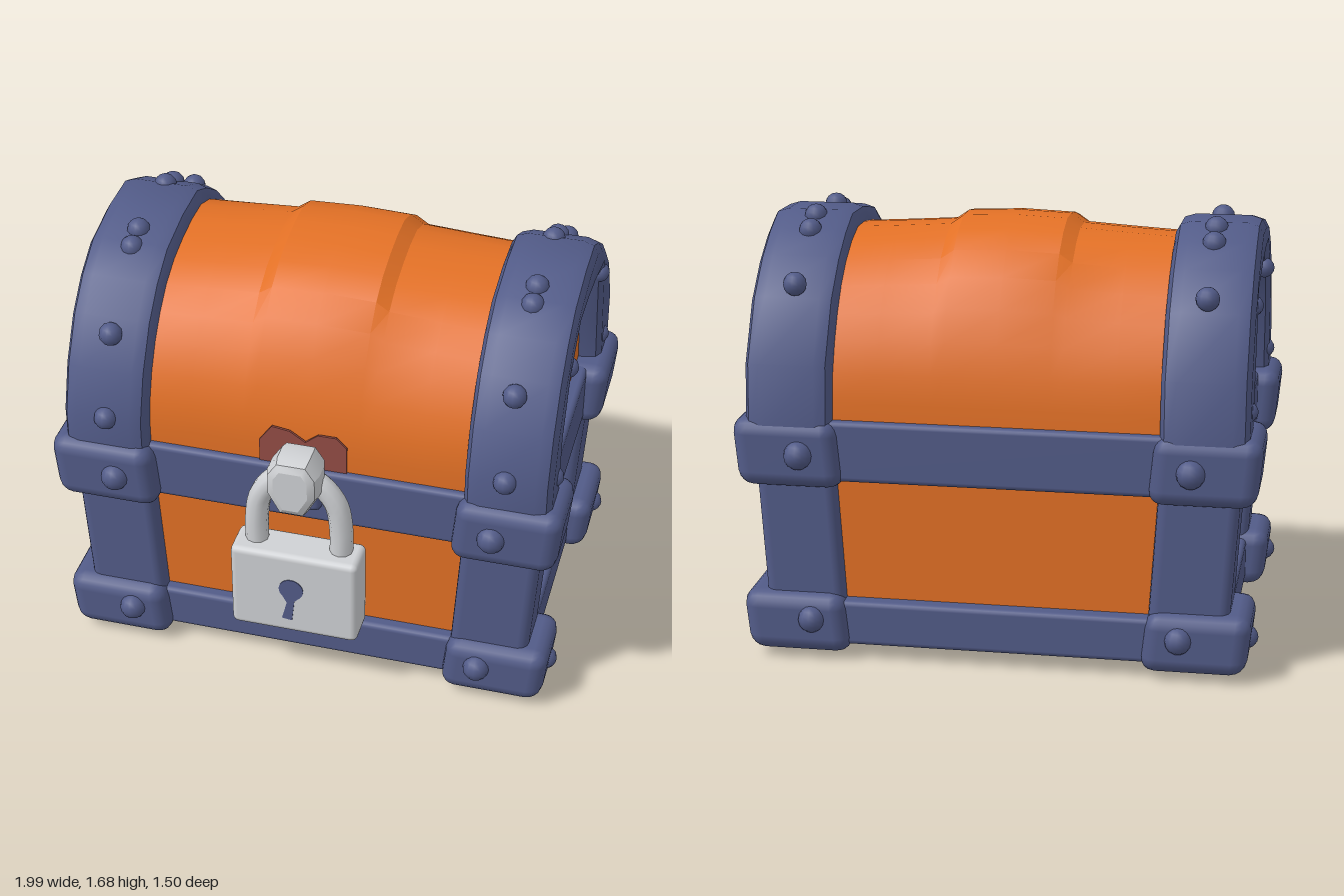
import * as THREE from 'three';
import { toCreasedNormals } from 'three/addons/utils/BufferGeometryUtils.js';
import { RoundedBoxGeometry } from 'three/addons/geometries/RoundedBoxGeometry.js';

const mat = (name, color, side = THREE.FrontSide) => {
  const m = new THREE.MeshStandardMaterial({ color, side });
  m.name = name;
  return m;
};

export function createModel() {
  const wood = mat('orange wood', 0xe27025, THREE.DoubleSide);
  const iron = mat('blue iron', 0x525b88);
  const steel = mat('pale steel', 0xcfd1d4);
  const base = mat('dark base', 0x4a3835);
  const stain = mat('mauve plate', 0x934c45);
  const chest = new THREE.Group();
  chest.name = 'chest';

  const add = (name, geo, material, parent = chest) => {
    const m = new THREE.Mesh(geo, material);
    m.name = name;
    parent.add(m);
    return m;
  };

  // Rounded block between two corners; flare moves the outer x face out towards the top
  const block = (name, x0, x1, y0, y1, z0, z1, r, material, flare = 0) => {
    const geo = new RoundedBoxGeometry(x1 - x0, y1 - y0, z1 - z0, 2, r);
    geo.translate((x0 + x1) / 2, (y0 + y1) / 2, (z0 + z1) / 2);
    if (flare) {
      const p = geo.attributes.position;
      for (let i = 0; i < p.count; i++) {
        const t = (p.getY(i) - y1) / (y1 - y0);
        p.setX(i, p.getX(i) + Math.sign(x0 + x1) * flare * t);
      }
    }
    return add(name, geo, material);
  };
  const mirrored = (name, s, x0, x1, ...rest) =>
    block(name, s > 0 ? x0 : -x1, s > 0 ? x1 : -x0, ...rest);

  // Lower body and floor
  block('bodyPanels', -0.84, 0.84, 0.1, 0.9, -0.6, 0.51, 0.02, wood);
  add('floor', new THREE.BoxGeometry(1.68, 0.03, 1.12).translate(0, 0.09, -0.045), base);

  // Rails around the bottom and the middle
  for (const [label, y0, y1, x] of [['bottom', 0.06, 0.235, 0.88], ['middle', 0.71, 0.945, 0.91]]) {
    block(label + 'FrontRail', -0.8, 0.8, y0, y1, 0.47, 0.56, 0.02, iron);
    block(label + 'BackRail', -0.8, 0.8, y0, y1, -0.66, -0.57, 0.02, iron);
    for (const s of [1, -1]) mirrored(label + 'SideRail', s, x - 0.09, x, y0, y1, -0.58, 0.49, 0.02, iron);
  }

  // Corner posts with their caps
  for (const s of [1, -1]) {
    for (const [z0, z1] of [[0.33, 0.575], [-0.65, -0.36]]) {
      const front = z0 > 0;
      mirrored('cornerPost', s, 0.615, 0.92, 0.15, 0.8, z0, z1, 0.04, iron, 0.04);
      const c0 = front ? 0.315 : -0.7, c1 = front ? 0.625 : -0.345;
      mirrored('bottomCap', s, 0.575, 0.975, 0.03, 0.265, c0, c1, 0.06, iron, 0.025);
      mirrored('middleCap', s, 0.595, 1.0, 0.685, 0.95, c0, c1 + (front ? 0.01 : 0), 0.06, iron, 0.025);
    }
  }

  // Lid arches: profile points are [z, y]
  const outer = [[0.6, 0.88], [0.6, 1.06], [0.54, 1.25], [0.44, 1.42], [0.33, 1.53], [0.2, 1.61],
    [0, 1.65], [-0.18, 1.655], [-0.3, 1.6], [-0.42, 1.52], [-0.55, 1.39], [-0.67, 1.16], [-0.69, 0.88]];
  const inner = [[-0.45, 0.88], [-0.445, 0.97], [-0.4, 1.17], [-0.345, 1.42], [-0.15, 1.465],
    [0, 1.485], [0.15, 1.485], [0.29, 1.37], [0.38, 1.17], [0.385, 0.88]];
  const toShape = pts => new THREE.Shape(pts.map(([z, y]) => new THREE.Vector2(-z, y)));
  const archGeo = new THREE.ExtrudeGeometry(toShape([...outer, ...inner]), {
    depth: 0.21, bevelThickness: 0.06, bevelSize: 0.045, bevelOffset: -0.045, bevelSegments: 2,
  }).rotateY(Math.PI / 2).translate(-0.105, 0, 0);
  const archSmooth = toCreasedNormals(archGeo, 0.6);
  const endGeo = new THREE.ExtrudeGeometry(toShape(outer.map(([z, y]) =>
    [-0.045 + (z + 0.045) * 0.88, 0.88 + (y - 0.88) * 0.9])), { depth: 0.04, bevelEnabled: false })
    .rotateY(Math.PI / 2).translate(-0.02, 0, 0);
  for (const s of [1, -1]) {
    add('lidArch', archSmooth, iron).position.x = s * 0.78;
    add('lidEndPanel', endGeo, wood).position.x = s * 0.84;
  }

  // Barrel lid with a slightly raised middle plank
  const lidProfile = new THREE.CatmullRomCurve3(
    [[0.53, 0.9], [0.525, 1.08], [0.47, 1.25], [0.37, 1.4], [0.22, 1.52], [0, 1.58], [-0.18, 1.585],
      [-0.3, 1.535], [-0.42, 1.45], [-0.54, 1.29], [-0.615, 1.1], [-0.63, 0.9]]
      .map(([z, y]) => new THREE.Vector3(0, y, z)));
  const stations = [[-0.66, 0], [-0.45, 0.012], [-0.25, 0.025], [-0.2, 0.06], [0, 0.068],
    [0.2, 0.06], [0.25, 0.025], [0.45, 0.012], [0.66, 0]];
  const rows = 18, cols = stations.length - 1;
  const lid = new THREE.PlaneGeometry(1, 1, cols, rows);
  for (let j = 0; j <= rows; j++) {
    const p = lidProfile.getPointAt(1 - j / rows);
    const w = THREE.MathUtils.smoothstep(p.y, 1.1, 1.55);
    for (let i = 0; i <= cols; i++) {
      const [x, lift] = stations[i];
      lid.attributes.position.setXYZ(j * (cols + 1) + i, x, p.y + lift * w, p.z);
    }
  }
  add('barrelLid', toCreasedNormals(lid, 0.45), wood);

  // Rivets on caps and arches
  const rivetGeo = new THREE.SphereGeometry(0.05, 12, 8);
  const rivet = (x, y, z, r = 1) => {
    const m = add('rivet', rivetGeo, iron);
    m.position.set(x, y, z);
    m.scale.setScalar(r);
  };
  for (const s of [1, -1]) {
    for (const z of [0.62, -0.69]) {
      rivet(s * 0.735, 0.82, z + Math.sign(z) * 0.005, 1.1);
      rivet(s * 0.7, 0.17, z, 1.05);
    }
    for (const z of [0.47, -0.55]) rivet(s * 0.945, 0.15, z, 0.9);
    for (const [z, y] of [[0.27, 1.39], [0.45, 1.02], [-0.4, 1.39], [-0.53, 1.02]])
      rivet(s * 0.925, y, z, 0.8);
    for (const [z, y] of [[0.59, 1.065], [0.48, 1.375], [0.2, 1.59], [0.12, 1.62],
      [-0.2, 1.635], [-0.29, 1.595], [-0.54, 1.44]])
      rivet(s * 0.77, y, z, 0.9);
    // Feet
    for (const z of [0.47, -0.5])
      add('foot', new THREE.CylinderGeometry(0.06, 0.045, 0.05, 8).translate(s * 0.745, 0.025, z), iron);
  }

  // Latch and the plate behind it
  block('latch', -0.07, 0.07, 0.77, 0.93, 0.5, 0.59, 0.03, iron);
  const plate = new THREE.Shape([[-0.18, 0.94], [0.16, 0.94], [0.16, 1.06], [0.12, 1.1], [0.05, 1.1],
    [0, 1.06], [-0.06, 1.1], [-0.13, 1.11], [-0.18, 1.04]].map(p => new THREE.Vector2(...p)));
  add('latchPlate', new THREE.ExtrudeGeometry(plate, { depth: 0.009, bevelEnabled: false })
    .translate(0, 0, 0.53), stain);

  // Padlock
  block('padlockBody', -0.25, 0.25, 0.28, 0.655, 0.57, 0.73, 0.025, steel);
  const path = new THREE.CatmullRomCurve3([[-0.165, 0.6], [-0.165, 0.76], [-0.145, 0.87], [-0.085, 0.95],
    [0, 0.98], [0.085, 0.95], [0.145, 0.87], [0.165, 0.76], [0.165, 0.6]]
    .map(([x, y]) => new THREE.Vector3(x, y, 0.635)));
  add('shackle', new THREE.TubeGeometry(path, 32, 0.045, 10), steel);
  const knob = new THREE.Shape([[-0.05, 0.86], [0.05, 0.86], [0.1, 0.95], [0.1, 1.04], [0.06, 1.1],
    [-0.06, 1.1], [-0.1, 1.04], [-0.1, 0.95]].map(p => new THREE.Vector2(...p)));
  add('knob', toCreasedNormals(new THREE.ExtrudeGeometry(knob, {
    depth: 0.07, bevelThickness: 0.05, bevelSize: 0.035, bevelOffset: -0.035, bevelSegments: 2,
  }).translate(0, 0, 0.63), 0.5), steel);
  add('knobNeck', new THREE.CylinderGeometry(0.06, 0.06, 0.14, 10).rotateX(Math.PI / 2)
    .translate(0, 0.98, 0.57), steel);

  // Keyhole
  const key = new THREE.Shape();
  key.moveTo(-0.045, 0.35);
  key.lineTo(-0.005, 0.345);
  key.lineTo(0.005, 0.44);
  key.absarc(-0.008, 0.495, 0.048, -0.9, Math.PI * 1.25, false);
  key.lineTo(-0.025, 0.43);
  add('keyhole', new THREE.ExtrudeGeometry(key, { depth: 0.006, bevelEnabled: false })
    .translate(0, 0, 0.727), iron);

  return chest;
}
